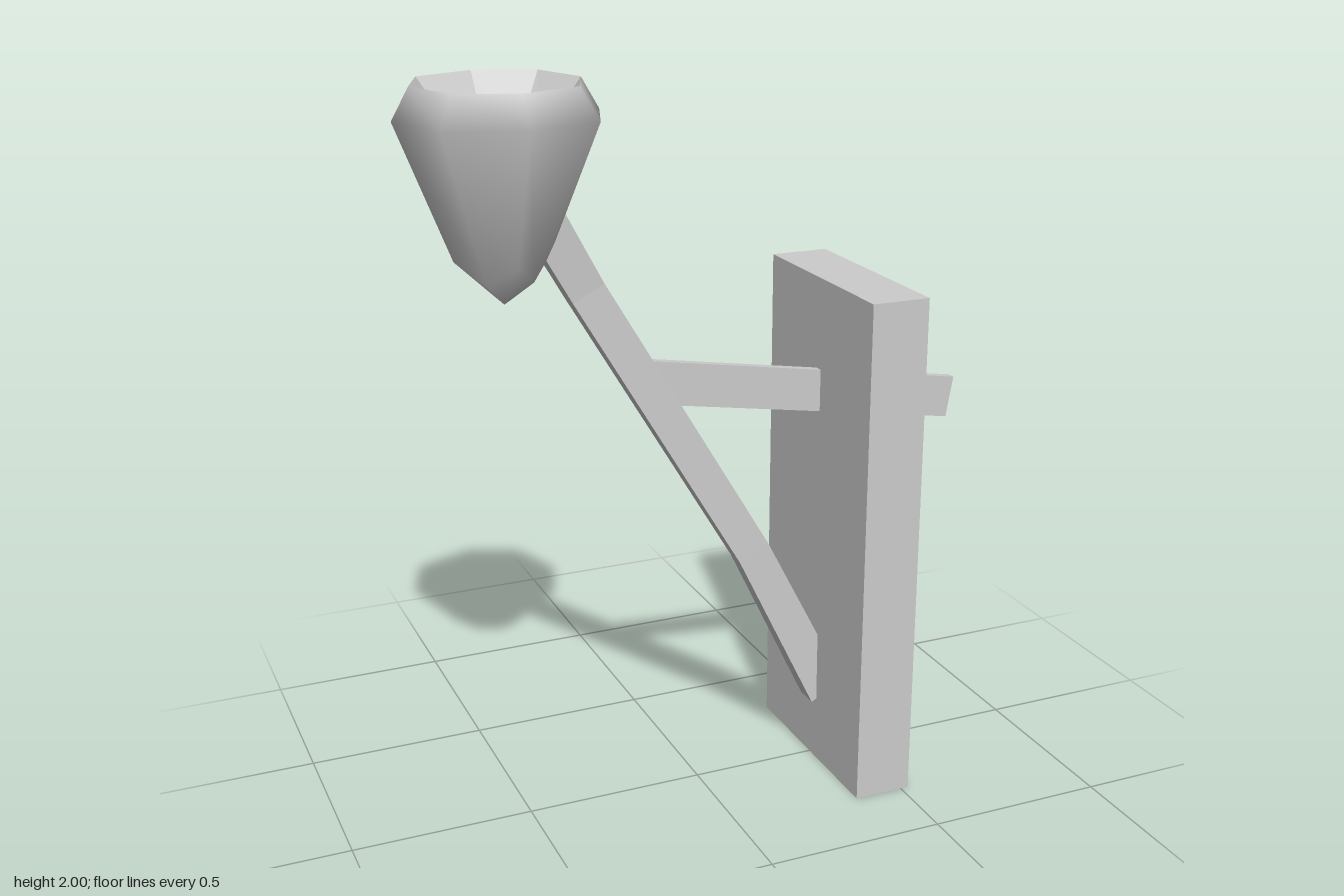
import * as THREE from 'three';

const smooth = new THREE.MeshStandardMaterial({ color: 0xcccccc });
const flat = new THREE.MeshStandardMaterial({ color: 0xcccccc, flatShading: true });

function addMesh(parent, name, geometry, material) {
  const mesh = new THREE.Mesh(geometry, material);
  mesh.name = name;
  parent.add(mesh);
  return mesh;
}

// Square beam through sections [lowerX, lowerY, upperX, upperY, backZ, frontZ], running towards -x
function beam(sections) {
  const positions = [];
  const index = [];
  sections.forEach(([lx, ly, ux, uy, z0, z1], i) => {
    positions.push(lx, ly, z0, lx, ly, z1, ux, uy, z1, ux, uy, z0);
    if (i === 0) return;
    const a = (i - 1) * 4, b = i * 4;
    for (let k = 0; k < 4; k++) {
      const n = (k + 1) % 4;
      index.push(a + k, a + n, b + n, a + k, b + n, b + k);
    }
  });
  const e = (sections.length - 1) * 4;
  index.push(0, 2, 1, 0, 3, 2, e, e + 1, e + 2, e, e + 2, e + 3);
  const indexed = new THREE.BufferGeometry();
  indexed.setAttribute('position', new THREE.Float32BufferAttribute(positions, 3));
  indexed.setIndex(index);
  const geometry = indexed.toNonIndexed();
  geometry.computeVertexNormals();
  return geometry;
}

// Eight-sided lathe; every other corner follows the second profile
function octagonLathe(profile, diagonal = profile) {
  const geometry = new THREE.LatheGeometry(profile.map(([r, y]) => new THREE.Vector2(r, y)), 8);
  const position = geometry.attributes.position;
  for (let i = 1; i < 8; i += 2) {
    const angle = i * Math.PI / 4;
    diagonal.forEach(([r, y], j) => {
      position.setXYZ(i * profile.length + j, r * Math.sin(angle), y, r * Math.cos(angle));
    });
  }
  return geometry;
}

export function createModel() {
  const group = new THREE.Group();
  group.name = 'wallTorch';

  // Upright mounting board
  const plate = addMesh(group, 'wallPlate', new THREE.BoxGeometry(0.163, 1.43, 0.59), flat);
  plate.position.set(0.441, 0.715, 0);

  // Slanted, slightly bent handle ending inside the cup
  addMesh(group, 'handle', beam([
    [0.345, 0.18, 0.44, 0.235, -0.035, 0.035],
    [0.115, 0.655, 0.2, 0.7, -0.03, 0.03],
    [-0.345, 1.435, -0.26, 1.48, -0.055, 0.01],
    [-0.61, 1.89, -0.51, 1.94, -0.04, 0.035],
  ]), flat);

  // Thin crossbar through the board
  addMesh(group, 'crossbar', beam([
    [0.76, 0.99, 0.78, 1.105, -0.012, 0.012],
    [-0.155, 1.145, -0.135, 1.26, -0.012, 0.012],
  ]), flat);

  // Eight-sided cup: smooth shell and faceted hollow
  const cup = new THREE.Group();
  cup.name = 'cup';
  cup.position.x = -0.522;
  addMesh(cup, 'cupShell', octagonLathe(
    [[0, 1.45], [0.125, 1.57], [0.26, 1.92], [0.214, 2]],
    [[0, 1.45], [0.085, 1.515], [0.273, 1.92], [0.22, 2]],
  ), smooth);
  addMesh(cup, 'cupHollow', octagonLathe(
    [[0.214, 2], [0.104, 1.85], [0, 1.85]],
    [[0.22, 2], [0.104, 1.85], [0, 1.85]],
  ), flat);
  group.add(cup);

  return group;
}
